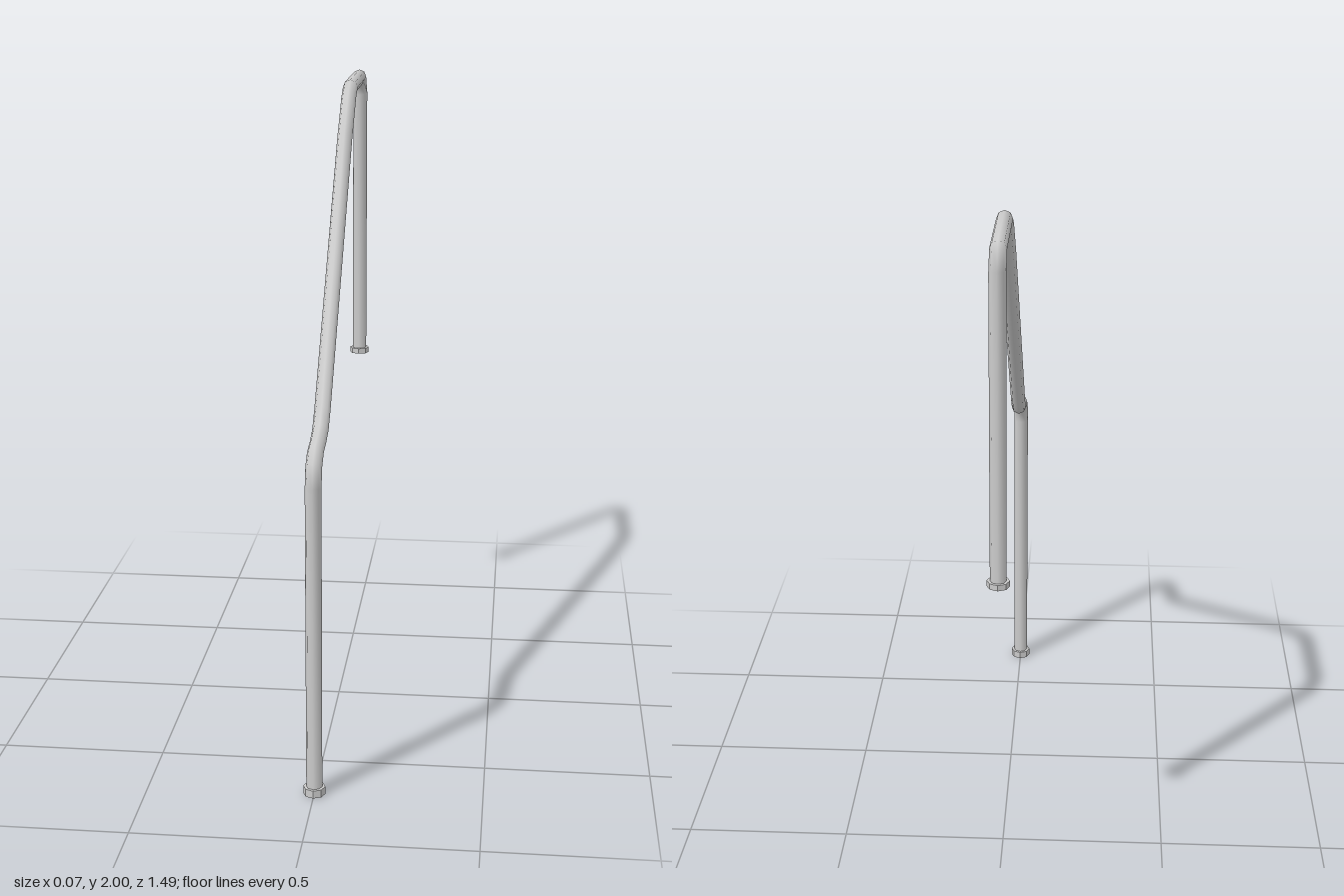
import * as THREE from 'three';

const SIDES = 8;
const PIPE_RADIUS = 0.024;

// Sweeps a round, mitred pipe along [z, y] points lying in the x = 0 plane
function pipeGeometry(path, radius) {
  const points = path.map(([z, y]) => new THREE.Vector3(0, y, z));
  const xAxis = new THREE.Vector3(1, 0, 0);
  const positions = [];
  const indices = [];
  const last = points.length - 1;

  points.forEach((p, i) => {
    const before = points[Math.max(i, 1)].clone().sub(points[Math.max(i, 1) - 1]).normalize();
    const next = Math.min(i, last - 1);
    const after = points[next + 1].clone().sub(points[next]).normalize();
    const tangent = before.clone().add(after).normalize();
    const normal = tangent.clone().cross(xAxis);
    const mitre = radius / tangent.dot(after);
    for (let j = 0; j < SIDES; j++) {
      const a = (j / SIDES) * Math.PI * 2;
      const v = p.clone()
        .addScaledVector(xAxis, Math.cos(a) * radius)
        .addScaledVector(normal, Math.sin(a) * mitre);
      positions.push(v.x, v.y, v.z);
      if (i < last) {
        const k = (j + 1) % SIDES;
        const a0 = i * SIDES + j, b0 = i * SIDES + k;
        indices.push(a0, b0, a0 + SIDES, b0, b0 + SIDES, a0 + SIDES);
      }
    }
  });

  const geometry = new THREE.BufferGeometry();
  geometry.setAttribute('position', new THREE.Float32BufferAttribute(positions, 3));
  geometry.setIndex(indices);
  geometry.computeVertexNormals();
  return geometry;
}

export function createModel() {
  const group = new THREE.Group();
  group.name = 'stairHandrail';
  const smooth = new THREE.MeshStandardMaterial({ color: 0xcccccc, side: THREE.DoubleSide });
  const faceted = new THREE.MeshStandardMaterial({ color: 0xcccccc, flatShading: true });

  // One bent pipe: lower post, sloping rail, upper landing, upper post
  const path = [
    [0.712, 0.005], [0.712, 0.955], [0.694, 1.014], [0.652, 1.044],
    [0.59, 1.054], [0.527, 1.073], [0.474, 1.118],
    [-0.178, 1.833], [-0.305, 1.947], [-0.357, 1.974],
    [-0.665, 1.977], [-0.71, 1.922], [-0.71, 1.005],
  ];
  const rail = new THREE.Mesh(pipeGeometry(path, PIPE_RADIUS), smooth);
  rail.name = 'railPipe';
  group.add(rail);

  // Octagonal foot collars on the two step levels
  const collars = [['lowerFootCollar', 0, 0.712, 0.024], ['upperFootCollar', 1, -0.71, 0.018]];
  for (const [name, y, z, height] of collars) {
    const collar = new THREE.Mesh(new THREE.CylinderGeometry(0.033, 0.033, height, SIDES), faceted);
    collar.name = name;
    collar.position.set(0, y + height / 2, z);
    group.add(collar);
  }
  return group;
}
